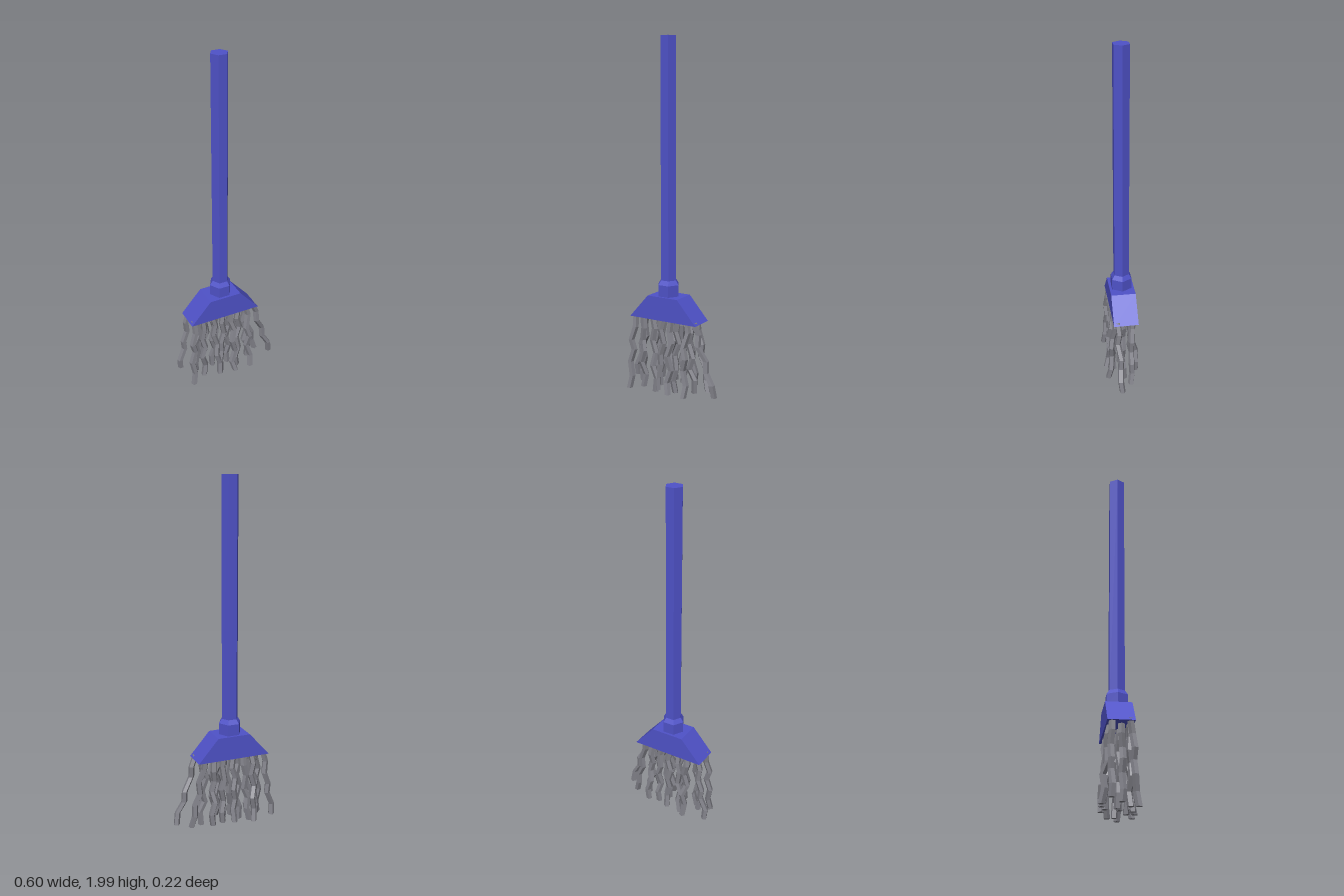
import * as THREE from 'three';

export function createModel() {
  const blue = new THREE.MeshStandardMaterial({ color: 0x4f52c8 });
  blue.name = 'blue plastic';
  blue.flatShading = true;
  const grey = new THREE.MeshStandardMaterial({ color: 0x82828a });
  grey.name = 'grey yarn';
  grey.flatShading = true;

  const mop = new THREE.Group();
  mop.name = 'mop';
  const CX = -0.035, CZ = -0.007;

  const add = (name, geometry, material, parent = mop) => {
    const mesh = new THREE.Mesh(geometry, material);
    mesh.name = name;
    parent.add(mesh);
    return mesh;
  };

  // Hexagonal pole and the chamfered collar at its foot, corners towards +x and -x
  const hex = (name, rTop, rBottom, y0, y1) => {
    const g = new THREE.CylinderGeometry(rTop, rBottom, y1 - y0, 6);
    g.rotateY(Math.PI / 6);
    add(name, g, blue).position.set(CX, (y0 + y1) / 2, CZ);
  };
  hex('handle', 0.048, 0.048, 0.57, 2);
  hex('collar', 0.065, 0.065, 0.57, 0.635);
  hex('collarChamfer', 0.048, 0.065, 0.635, 0.66);

  // Trapezoid head
  const outline = new THREE.Shape([
    [-0.25, 0.435], [0.18, 0.435], [0.062, 0.57], [-0.13, 0.57],
  ].map(([x, y]) => new THREE.Vector2(x, y)));
  const headGeo = new THREE.ExtrudeGeometry(outline, { depth: 0.142, bevelEnabled: false });
  headGeo.translate(0, 0, -0.078);
  add('head', headGeo, blue);

  // Seeded noise in -1..1
  let seed = 11;
  const noise = () => {
    seed = (seed * 16807) % 2147483647;
    return (seed / 2147483647) * 2 - 1;
  };

  // A crooked five-sided strand: a cylinder whose rings are shifted along a zigzag
  const ROWS = 6, TOP = 0.45;
  const strand = (x0, z0, x1, y1, z1) => {
    const g = new THREE.CylinderGeometry(0.018, 0.018, 1, 5, ROWS);
    g.rotateY(noise() * Math.PI);
    const phase = noise() > 0 ? 1 : -1;
    const rings = [];
    for (let i = 0; i <= ROWS; i++) {
      const t = i / ROWS;
      const amp = i === 0 || i === ROWS ? 0 : 0.009;
      const zig = phase * (i % 2 ? 1 : -1);
      rings.push([
        THREE.MathUtils.lerp(x0, x1, t) + amp * (zig + noise() * 0.6),
        THREE.MathUtils.lerp(TOP, y1, t) + amp * noise(),
        THREE.MathUtils.lerp(z0, z1, t) + amp * noise(),
      ]);
    }
    const p = g.attributes.position;
    for (let i = 0; i < p.count; i++) {
      const [x, y, z] = rings[Math.round((0.5 - p.getY(i)) * ROWS)];
      p.setXYZ(i, p.getX(i) + x, y, p.getZ(i) + z);
    }
    g.computeVertexNormals();
    return g;
  };

  // Strands: start x, z, then end x, y, z
  const strands = new THREE.Group();
  strands.name = 'strands';
  mop.add(strands);
  [
    // back row
    [-0.22, -0.05, -0.28, 0.045, -0.06],
    [-0.15, -0.05, -0.15, 0.04, -0.095],
    [-0.10, -0.05, -0.125, 0.05, -0.085],
    [-0.04, -0.05, -0.035, 0.05, -0.082],
    [0.02, -0.05, 0.03, 0.05, -0.06],
    [0.08, -0.05, 0.095, 0.05, -0.075],
    [0.13, -0.05, 0.21, 0.04, -0.03],
    // middle row
    [-0.18, 0, -0.205, 0.04, 0],
    [-0.08, 0, -0.09, 0.03, -0.01],
    [0.0, 0, 0.0, 0.04, 0.01],
    [0.10, 0, 0.14, 0.03, 0],
    // front row
    [-0.225, 0.04, -0.25, 0.01, 0.075],
    [-0.17, 0.04, -0.17, 0.025, 0.045],
    [-0.11, 0.04, -0.075, 0.02, 0.068],
    [-0.04, 0.04, -0.065, 0.03, 0.06],
    [0.01, 0.04, 0.018, 0.025, 0.09],
    [0.06, 0.04, 0.045, 0.03, 0.05],
    [0.11, 0.04, 0.118, 0.025, 0.09],
    [0.155, 0.04, 0.28, 0.04, 0.03],
  ].forEach((s) => add('strand', strand(...s), grey, strands));

  return mop;
}
